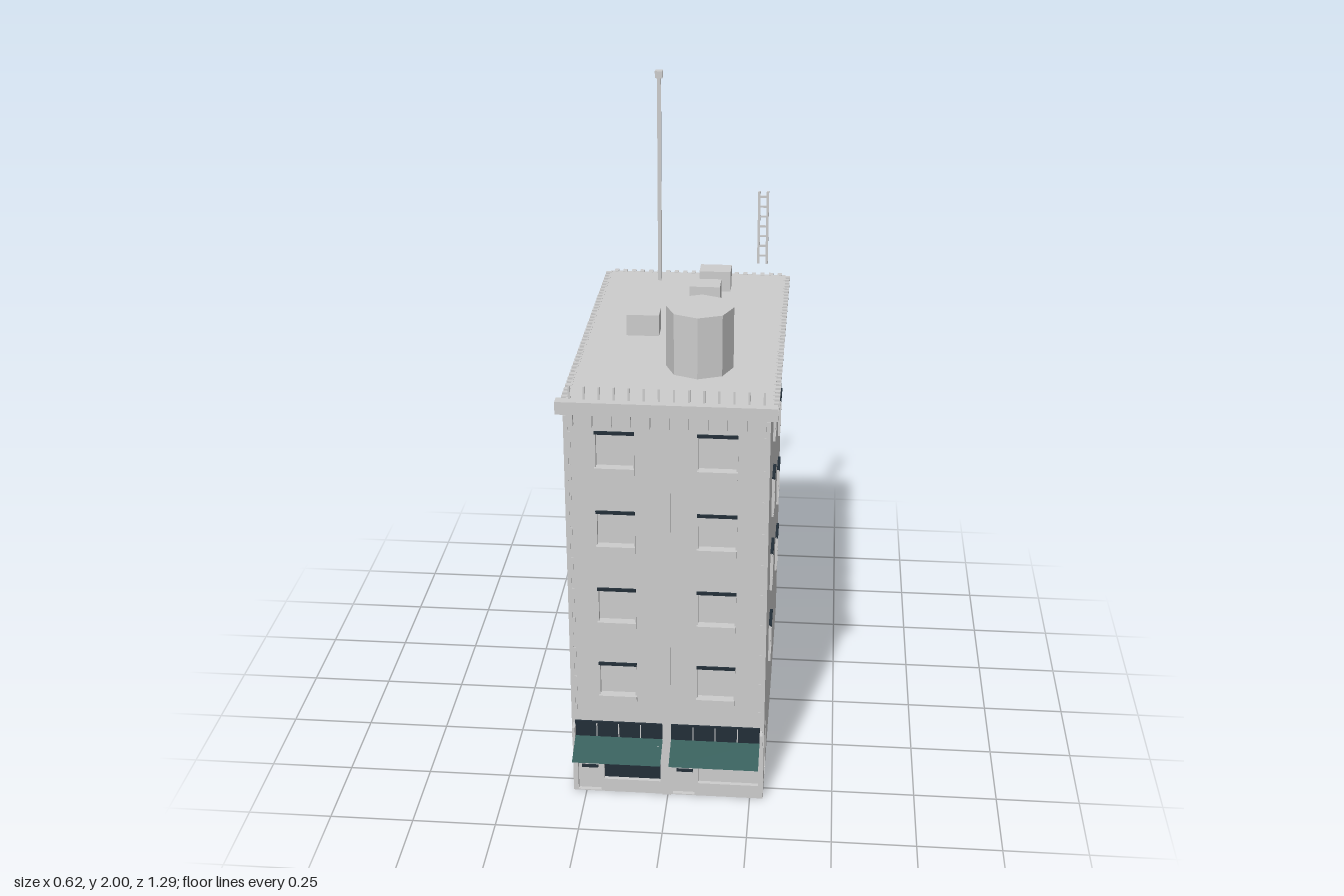
import * as THREE from 'three';

const mat = (name, color) => {
  const m = new THREE.MeshStandardMaterial({ color, side: THREE.DoubleSide });
  m.name = name;
  return m;
};

export function createModel() {
  const stone = mat('pale stone', 0xcccccc);
  const dark = mat('dark glass', 0x222e38);
  const teal = mat('teal canvas', 0x1f5450);
  const model = new THREE.Group();
  model.name = 'apartmentBuilding';

  const H = 1.268, T = 0.015;
  const X = 0.29, ZF = 0.555, ZB = -0.62;
  const floors = [0.335, 0.587, 0.838, 1.087];

  function add(parent, name, geo, m, x = 0, y = 0, z = 0) {
    const mesh = new THREE.Mesh(geo, m);
    mesh.name = name;
    mesh.position.set(x, y, z);
    parent.add(mesh);
    return mesh;
  }
  // box given by its low and high corners
  function box(parent, name, m, x0, x1, y0, y1, z0, z1) {
    return add(parent, name, new THREE.BoxGeometry(x1 - x0, y1 - y0, z1 - z0), m,
      (x0 + x1) / 2, (y0 + y1) / 2, (z0 + z1) / 2);
  }

  // a wall in local space: u across, y up, +z outwards; openings are recessed panes
  function wall(name, u0, u1, openings, angle, x, z) {
    const g = new THREE.Group();
    g.name = name;
    g.rotation.y = angle;
    g.position.set(x, 0, z);
    const shape = new THREE.Shape();
    shape.moveTo(u0, 0).lineTo(u1, 0).lineTo(u1, H).lineTo(u0, H).closePath();
    for (const o of openings) {
      const hole = new THREE.Path();
      hole.moveTo(o.a, o.b).lineTo(o.a, o.d).lineTo(o.c, o.d).lineTo(o.c, o.b).closePath();
      shape.holes.push(hole);
      box(g, o.name + 'Pane', o.m || stone, o.a, o.c, o.b, o.d, -T - 0.002, -T + 0.002);
    }
    add(g, name + 'Surface', new THREE.ExtrudeGeometry(shape, { depth: T, bevelEnabled: false }), stone, 0, 0, -T);
    model.add(g);
    return g;
  }
  const opening = (name, a, c, b, d, m) => ({ name, a, c, b, d, m });

  // thin projecting surround, dark head strip and, on the front, a deep sill
  function trim(g, o, front) {
    const out = front ? 0.004 : 0.007, w = 0.004;
    box(g, 'windowJamb', stone, o.a - w, o.a, o.b, o.d, 0, out);
    box(g, 'windowJamb', stone, o.c, o.c + w, o.b, o.d, 0, out);
    box(g, 'windowHead', dark, o.a - w, o.c + w, o.d - 0.004, o.d + 0.005, -T, out + 0.002);
    if (front) box(g, 'windowSill', stone, o.a - w, o.c + w, o.b - 0.005, o.b + 0.018, -T, 0.014);
    else box(g, 'windowSill', stone, o.a - w, o.c + w, o.b - 0.004, o.b, 0, out);
  }

  function windowedWall(name, u0, u1, columns, extras, angle, x, z, front) {
    const wins = columns.flatMap(([a, c]) => floors.map(y => opening('window', a, c, y, y + 0.123)));
    const g = wall(name, u0, u1, [...wins, ...extras], angle, x, z);
    wins.forEach(o => trim(g, o, front));
    return g;
  }

  // four walls
  const q = Math.PI / 2;
  const front = windowedWall('frontWall', -X, X, [[-0.2, -0.095], [0.09, 0.197]], [
    opening('shopDoor', -0.275, -0.205, 0.003, 0.2),
    opening('shopWindow', -0.195, -0.022, 0.045, 0.2, dark),
    opening('shopDoor', 0.015, 0.082, 0.003, 0.2),
    opening('shopWindow', 0.092, 0.275, 0.045, 0.2),
  ], 0, 0, ZF, true);
  windowedWall('leftWall', -ZF, -ZB, [[-0.295, -0.21], [0.285, 0.372]],
    [opening('sideDoor', -0.48, -0.39, 0.003, 0.18)], q, X, 0);
  windowedWall('rightWall', ZB, ZF, [[0.21, 0.295], [-0.372, -0.285]],
    [opening('sideDoor', -0.55, -0.465, 0.003, 0.18)], -q, -X, 0);
  windowedWall('backWall', -X, X, [[-0.205, -0.088]],
    [opening('backDoor', -0.23, -0.145, 0.003, 0.18)], Math.PI, 0, ZB);
  box(model, 'roof', stone, -X, X, H - 0.008, H, ZB, ZF);

  // centre pilaster and stepped corner stones
  box(front, 'centrePilaster', stone, -0.017, 0.01, 0, H, 0, 0.004);
  for (const s of [-1, 1]) for (let i = 0; i < 20; i++) {
    const w = i % 2 ? 0.012 : 0.019;
    box(front, 'cornerStone', stone, s * (X - w / 2) - w / 2, s * (X - w / 2) + w / 2,
      0.26 + i * 0.05, 0.31 + i * 0.05, 0, 0.003);
  }

  // shop transoms, awnings and door letter slots
  for (const [a, c] of [[-0.28, -0.015], [0.01, 0.277]]) {
    box(front, 'transomGlass', dark, a, c, 0.203, 0.255, 0, 0.006);
    for (const t of [0.25, 0.5, 0.75]) {
      const u = a + (c - a) * t;
      box(front, 'transomBar', stone, u - 0.0015, u + 0.0015, 0.205, 0.25, 0.006, 0.009);
    }
    const awning = add(model, 'awning', new THREE.PlaneGeometry(c - a, 0.097), teal, (a + c) / 2, 0.182, 0.601);
    awning.rotation.x = -Math.atan2(0.088, 0.038);
    for (const u of [a + 0.012, c - 0.012])
      box(front, 'awningHook', stone, u - 0.003, u + 0.003, 0.16, 0.19, 0.02, 0.028);
  }
  for (const s of [-1, 1])
    box(front, 'transomBracket', stone, s * 0.282 - 0.004, s * 0.282 + 0.004, 0.207, 0.245, 0, 0.03);
  box(front, 'letterSlot', dark, -0.265, -0.215, 0.079, 0.087, -T, -T + 0.008);
  box(front, 'letterSlot', dark, 0.025, 0.075, 0.079, 0.087, -T, -T + 0.008);

  // cornice with brackets below and spikes above
  box(model, 'cornice', stone, -0.31, 0.31, 1.27, 1.308, 0.545, 0.576);
  for (let i = 0; i < 11; i++) {
    const x = -0.27 + i * 0.054;
    box(model, 'corniceBracket', stone, x - 0.009, x + 0.009, 1.232, 1.27, ZF, 0.572);
  }
  for (let i = 0; i < 14; i++) {
    const x = -0.272 + i * 0.0418;
    box(model, 'corniceSpike', stone, x - 0.003, x + 0.003, 1.3, 1.345, 0.544, 0.551);
  }

  // small blocks around the roof edge
  for (let i = 0; i < 42; i++) {
    const z = -0.61 + i * 0.0278;
    for (const s of [-1, 1])
      box(model, 'eaveBlock', stone, s * 0.3 - 0.01, s * 0.3 + 0.01, 1.262, 1.272, z - 0.007, z + 0.007);
  }
  for (let i = 0; i < 20; i++) {
    const x = -0.276 + i * 0.029;
    box(model, 'eaveBlock', stone, x - 0.007, x + 0.007, 1.262, 1.272, -0.645, ZB);
  }
  box(model, 'eaveStrip', stone, -0.295, 0.295, 1.264, 1.271, -0.628, ZF);

  // rooftop tank, vents and mast
  const Y = 1.31;
  add(model, 'waterTank', new THREE.CylinderGeometry(0.098, 0.098, 0.185, 8).toNonIndexed(), stone, 0.073, Y + 0.0925, 0.29)
    .geometry.computeVertexNormals();
  for (const [x0, x1, z0, z1] of [[0.025, 0.125, -0.415, -0.345], [0.005, 0.1, -0.275, -0.2],
    [0.005, 0.1, -0.07, 0.008], [-0.165, -0.067, -0.01, 0.063]])
    box(model, 'roofVent', stone, x0, x1, Y, 1.376, z0, z1);
  box(model, 'mast', stone, -0.117, -0.105, Y, 1.98, -0.446, -0.434);
  box(model, 'mastCap', stone, -0.123, -0.099, 1.978, 2, -0.452, -0.428);

  // ladder at the back edge
  for (const x of [0.202, 0.23])
    box(model, 'ladderRail', stone, x - 0.004, x + 0.004, Y, 1.56, -0.634, -0.625);
  for (let i = 0; i < 7; i++)
    box(model, 'ladderRung', stone, 0.202, 0.23, 1.335 + i * 0.034, 1.341 + i * 0.034, -0.632, -0.627);

  return model;
}
